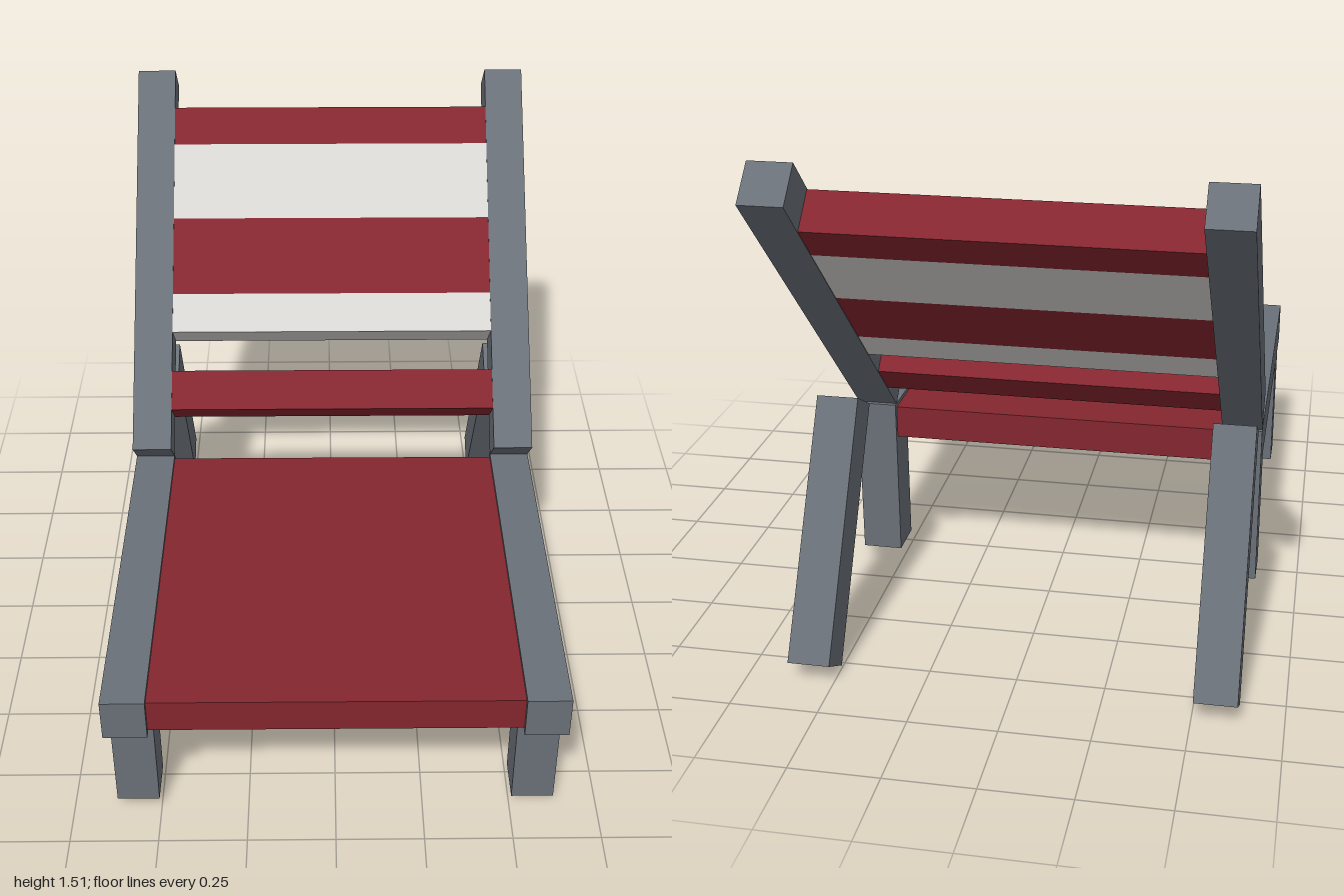
import * as THREE from 'three';

export function createModel() {
  const model = new THREE.Group();
  model.name = 'reclinedBeachChair';

  const mat = (name, color) => {
    const m = new THREE.MeshStandardMaterial({ color });
    m.name = name;
    return m;
  };
  const frame = mat('greyFrame', 0x6a7078);
  const red = mat('redFabric', 0x84262f);
  const white = mat('whiteFabric', 0xd8d6d2);

  const box = (parent, name, material, size, pos, tilt = 0) => {
    const mesh = new THREE.Mesh(new THREE.BoxGeometry(...size), material);
    mesh.name = name;
    mesh.position.set(...pos);
    mesh.rotation.x = tilt;
    parent.add(mesh);
    return mesh;
  };

  const T = 0.125; // timber thickness
  const W = 0.12; // timber width
  const X = 0.565; // offset of the side frames
  const INNER = 1.01; // clear width between the side frames

  // Backrest group, its y axis runs up along the posts
  const backrest = new THREE.Group();
  backrest.name = 'backrest';
  backrest.position.set(0, 1.022, -0.511);
  backrest.rotation.x = -Math.PI / 4;
  model.add(backrest);

  // Mirrored side frames
  for (const [side, x] of [['left', X], ['right', -X]]) {
    box(model, side + 'SeatRail', frame, [W, T, 1.127], [x, 0.473, 0.4365]);
    box(model, side + 'FrontLeg', frame, [W, 0.375, T], [x, 0.2245, 0.813]);
    box(model, side + 'MiddleLeg', frame, [W, 0.375, T], [x, 0.2245, -0.064]);
    box(model, side + 'RearProp', frame, [W, 0.752, T], [x, 0.358, -0.63], Math.PI / 6);
    box(backrest, side + 'BackPost', frame, [W, 1.254, T], [x, 0, 0]);
  }

  // Seat panel
  box(model, 'seat', red, [INNER, 0.1, 1.097], [0, 0.474, 0.4365]);

  // Backrest bands: start and end along the posts, with a gap above the first
  const bands = [
    ['lowerSlat', red, -0.5, -0.375],
    ['lowerWhiteBand', white, -0.25, -0.125],
    ['middleRedBand', red, -0.125, 0.125],
    ['upperWhiteBand', white, 0.125, 0.375],
    ['topRedBand', red, 0.375, 0.5],
  ];
  for (const [name, material, from, to] of bands) {
    box(backrest, name, material, [INNER, to - from, 0.121], [0, (from + to) / 2, 0]);
  }

  return model;
}
